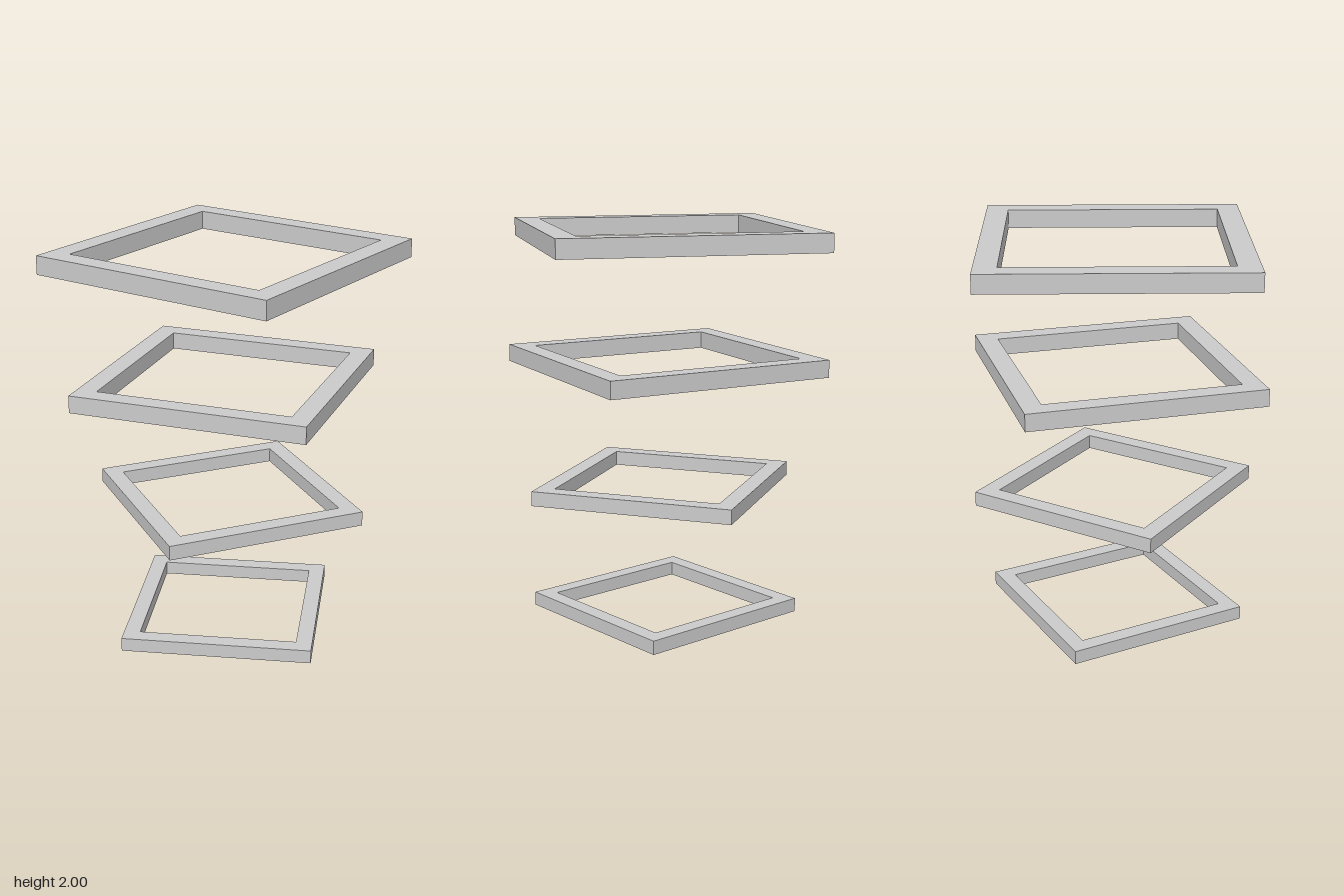
import * as THREE from 'three';

// Flat square ring with its underside at y = 0
function squareFrame(half, bar, height) {
  const square = (Type, r) => new Type([
    new THREE.Vector2(-r, -r), new THREE.Vector2(r, -r),
    new THREE.Vector2(r, r), new THREE.Vector2(-r, r),
  ]);
  const shape = square(THREE.Shape, half);
  shape.holes.push(square(THREE.Path, half - bar));
  const geometry = new THREE.ExtrudeGeometry(shape, { depth: height, bevelEnabled: false });
  return geometry.rotateX(-Math.PI / 2);
}

export function createModel() {
  const group = new THREE.Group();
  group.name = 'twistedFrameStack';
  const material = new THREE.MeshStandardMaterial({ color: 0xcccccc, flatShading: true });

  // Floating frames, growing upwards, each turned to its own angle
  const frames = [
    { name: 'bottomFrame', half: 0.482, bar: 0.082, height: 0.07, y: 0, turn: 30.5 },
    { name: 'lowerFrame', half: 0.515, bar: 0.088, height: 0.074, y: 0.64, turn: -29.4 },
    { name: 'upperFrame', half: 0.597, bar: 0.102, height: 0.088, y: 1.272, turn: 18 },
    { name: 'topFrame', half: 0.656, bar: 0.113, height: 0.094, y: 1.906, turn: 3.3 },
  ];
  for (const { name, half, bar, height, y, turn } of frames) {
    const mesh = new THREE.Mesh(squareFrame(half, bar, height), material);
    mesh.name = name;
    mesh.position.y = y;
    mesh.rotation.y = THREE.MathUtils.degToRad(turn);
    group.add(mesh);
  }
  return group;
}
